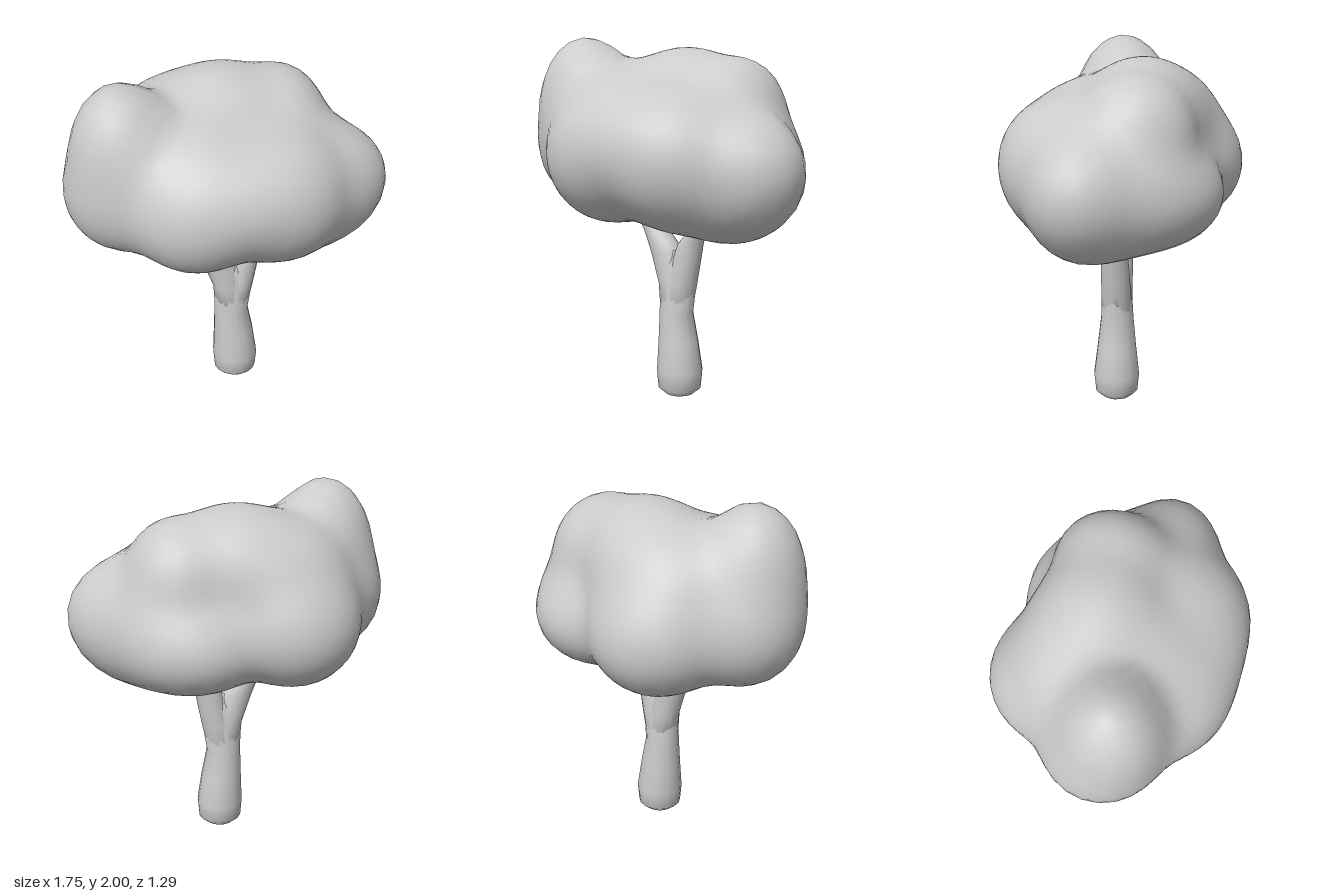
import * as THREE from 'three';
import { mergeVertices } from 'three/addons/utils/BufferGeometryUtils.js';

const material = new THREE.MeshStandardMaterial({ color: 0xcccccc });

// Smooth skin over horizontal elliptical rings: [x, y, z, radiusX, radiusZ], bottom to top
function loft(name, rings, sides = 16) {
  const pos = [], index = [];
  for (const [x, y, z, rx, rz] of rings) {
    for (let i = 0; i < sides; i++) {
      const a = (i / sides) * Math.PI * 2;
      pos.push(x + Math.cos(a) * rx, y, z + Math.sin(a) * rz);
    }
  }
  for (let j = 0; j < rings.length - 1; j++) {
    for (let i = 0; i < sides; i++) {
      const a = j * sides + i, b = j * sides + ((i + 1) % sides);
      index.push(a, a + sides, b, b, a + sides, b + sides);
    }
  }
  // End caps
  const top = (rings.length - 1) * sides;
  for (let i = 1; i < sides - 1; i++) {
    index.push(0, i, i + 1, top, top + i + 1, top + i);
  }
  const geo = new THREE.BufferGeometry();
  geo.setAttribute('position', new THREE.Float32BufferAttribute(pos, 3));
  geo.setIndex(index);
  geo.computeVertexNormals();
  const mesh = new THREE.Mesh(geo, material);
  mesh.name = name;
  return mesh;
}

// Foliage lobes: [centre x, y, z, radius x, y, z]
const LOBES = [
  [-0.56, 1.63, 0.09, 0.26, 0.37, 0.26],  // tall side lobe
  [-0.56, 1.37, 0.03, 0.30, 0.31, 0.30],  // its lower half
  [-0.26, 1.33, -0.28, 0.35, 0.33, 0.355], // back lobe
  [-0.20, 1.58, -0.16, 0.36, 0.29, 0.32], // upper back
  [-0.22, 1.37, 0.26, 0.35, 0.36, 0.355], // front, right half
  [0.22, 1.37, 0.26, 0.35, 0.36, 0.355],  // front, left half
  [0.02, 1.44, 0.34, 0.32, 0.25, 0.28],   // front, middle
  [-0.17, 1.50, 0.14, 0.34, 0.29, 0.30],  // slope above the front
  [0.54, 1.33, 0.12, 0.325, 0.30, 0.27],  // low side lobe
  [0.44, 1.24, 0.09, 0.30, 0.275, 0.28],  // its underside
  [0.25, 1.27, -0.25, 0.34, 0.26, 0.32],  // low back lobe
  [0.43, 1.32, -0.13, 0.24, 0.28, 0.26],  // low back corner
  [0.02, 1.63, -0.11, 0.32, 0.31, 0.31],  // upper lobe
  [0.34, 1.62, -0.12, 0.23, 0.27, 0.28],  // upper side lobe
];

// Blended field of the lobes, positive inside
function field(p) {
  let sum = 0;
  for (const [x, y, z, rx, ry, rz] of LOBES) {
    const q = Math.hypot((p.x - x) / rx, (p.y - y) / ry, (p.z - z) / rz);
    sum += Math.exp(-17 * (q - 1) * Math.min(rx, ry, rz));
  }
  return sum - 1;
}

function crown() {
  let geo = new THREE.IcosahedronGeometry(1, 11);
  geo.deleteAttribute('uv');
  geo.deleteAttribute('normal');
  geo = mergeVertices(geo, 1e-4);
  const pos = geo.attributes.position;
  const centre = new THREE.Vector3(-0.05, 1.46, 0);
  const dir = new THREE.Vector3(), p = new THREE.Vector3();
  // Push every vertex out to the blended surface
  for (let i = 0; i < pos.count; i++) {
    dir.fromBufferAttribute(pos, i).normalize();
    let near = 1.4;
    while (near > 0.1 && field(p.copy(centre).addScaledVector(dir, near)) < 0) near -= 0.02;
    let far = near + 0.02;
    for (let k = 0; k < 10; k++) {
      const mid = (near + far) / 2;
      if (field(p.copy(centre).addScaledVector(dir, mid)) > 0) near = mid;
      else far = mid;
    }
    p.copy(centre).addScaledVector(dir, near);
    pos.setXYZ(i, p.x, p.y, p.z);
  }
  geo.computeVertexNormals();
  const mesh = new THREE.Mesh(geo, material);
  mesh.name = 'crown';
  return mesh;
}

export function createModel() {
  const tree = new THREE.Group();
  tree.name = 'tree';

  // Trunk with a swollen foot, narrowing and then closing inside the fork
  tree.add(loft('trunk', [
    [0.06, 0, 0.025, 0.03, 0.03],
    [0.06, 0.015, 0.025, 0.08, 0.08],
    [0.06, 0.05, 0.025, 0.122, 0.12],
    [0.06, 0.15, 0.025, 0.13, 0.13],
    [0.05, 0.32, 0.025, 0.115, 0.11],
    [0.036, 0.48, 0.025, 0.097, 0.093],
    [0.047, 0.65, 0.025, 0.113, 0.083],
    [0.047, 0.76, 0.025, 0.09, 0.07],
    [0.05, 0.84, 0.025, 0.02, 0.04],
  ]));

  // Two branches growing out of the trunk and reaching into the crown
  tree.add(loft('rightBranch', [
    [0.036, 0.48, 0.025, 0.09, 0.088],
    [0.02, 0.65, 0.025, 0.09, 0.084],
    [-0.032, 0.82, 0.025, 0.098, 0.079],
    [-0.065, 0.88, 0.025, 0.09, 0.074],
    [-0.107, 0.94, 0.025, 0.073, 0.068],
    [-0.165, 1.02, 0.025, 0.068, 0.06],
    [-0.25, 1.15, 0.025, 0.055, 0.05],
  ]));
  tree.add(loft('leftBranch', [
    [0.036, 0.48, 0.025, 0.09, 0.088],
    [0.077, 0.65, 0.025, 0.086, 0.084],
    [0.117, 0.82, 0.025, 0.078, 0.079],
    [0.134, 0.88, 0.025, 0.072, 0.074],
    [0.167, 0.94, 0.025, 0.051, 0.068],
    [0.195, 1.02, 0.025, 0.045, 0.06],
    [0.22, 1.15, 0.025, 0.042, 0.05],
  ]));

  tree.add(crown());
  return tree;
}
